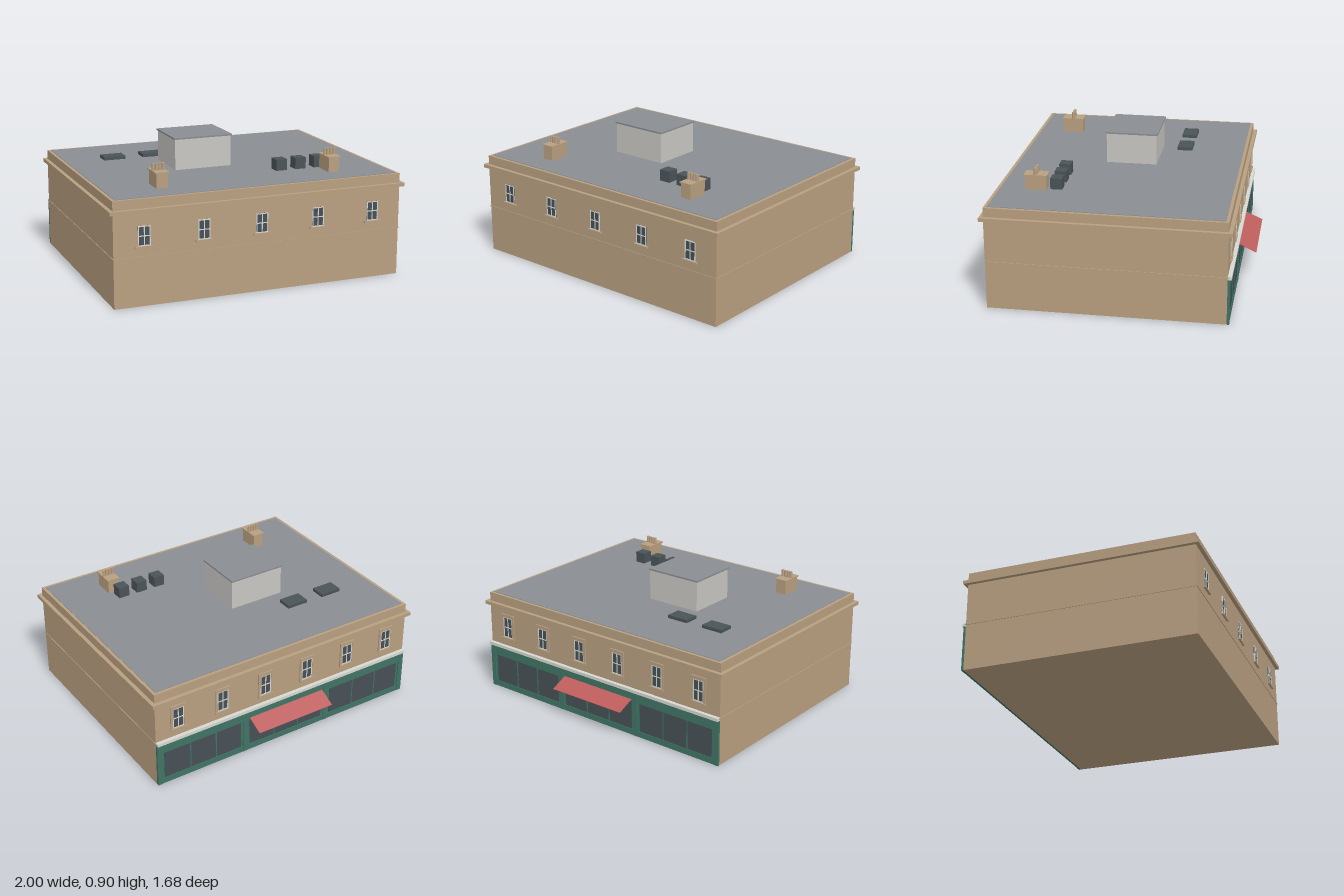
import * as THREE from 'three';

const mat = (name, color) => {
  const m = new THREE.MeshStandardMaterial({ color });
  m.name = name;
  return m;
};

export function createModel() {
  const stone = mat('sandstone', 0xb89f80);
  const roofGrey = mat('roofGrey', 0x8a8d91);
  const paleGrey = mat('paleGrey', 0xc8c6c2);
  const slate = mat('darkSlate', 0x4a5357);
  const glass = mat('glass', 0x465056);
  const white = mat('offWhite', 0xd8d8d2);
  const green = mat('shopGreen', 0x3f7465);
  const red = mat('awningRed', 0xbd5d5d);

  const model = new THREE.Group();
  model.name = 'shopBuilding';

  // Box given by its minimum and maximum on each axis
  const box = (name, m, x0, x1, y0, y1, z0, z1, parent = model) => {
    const mesh = new THREE.Mesh(new THREE.BoxGeometry(x1 - x0, y1 - y0, z1 - z0), m);
    mesh.position.set((x0 + x1) / 2, (y0 + y1) / 2, (z0 + z1) / 2);
    mesh.name = name;
    parent.add(mesh);
    return mesh;
  };
  const group = (name, x = 0, y = 0, z = 0) => {
    const g = new THREE.Group();
    g.name = name;
    g.position.set(x, y, z);
    model.add(g);
    return g;
  };

  const W = 0.975, ZB = -0.712, ZF = 0.813;

  // Main block, string course, cornice and roof
  box('walls', stone, -W, W, 0, 0.68, ZB, ZF);
  box('stringCourse', stone, -W - 0.004, W + 0.004, 0.312, 0.32, ZB - 0.004, ZF + 0.004);
  box('cornice', stone, -1, 1, 0.597, 0.62, ZB - 0.025, ZF + 0.025);
  box('roof', roofGrey, -0.954, 0.954, 0.675, 0.683, -0.692, 0.792);

  // Sash window, built facing +z about its sill
  const windowUnit = (name, x, z, w, h, surround) => {
    const g = group(name, x, 0.385, z);
    if (surround) {
      for (const s of [-1, 1]) {
        const c = s * (w / 2 + 0.008);
        box('jamb', stone, c - 0.008, c + 0.008, 0, h, 0, 0.008, g);
      }
      box('lintel', stone, -w / 2 - 0.016, w / 2 + 0.016, h, h + 0.022, 0, 0.008, g);
    }
    box('pane', glass, -w / 2, w / 2, 0, h, -0.004, 0.003, g);
    const bar = 0.006;
    for (const s of [-1, 0, 1]) {
      const cx = s * (w - bar) / 2, cy = h / 2 + s * (h - bar) / 2;
      box('upright', white, cx - bar / 2, cx + bar / 2, 0, h, 0, 0.006, g);
      box('rail', white, -w / 2, w / 2, cy - bar / 2, cy + bar / 2, 0, 0.006, g);
    }
    box('sill', stone, -w / 2 - 0.017, w / 2 + 0.017, -0.011, 0, 0, 0.014, g);
    return g;
  };
  for (let i = -2; i <= 2; i++) windowUnit('frontWindow', i * 0.389, ZF, 0.08, 0.127, false);
  for (let i = 0; i < 6; i++) {
    windowUnit('shopSideWindow', (i - 2.5) * 0.325, ZB, 0.08, 0.145, true).rotation.y = Math.PI;
  }

  // Shopfront: board, ledge, pilasters and three glazed bays
  box('shopBoard', green, -W, W, 0, 0.303, ZB - 0.008, ZB);
  box('shopLedge', white, -W, W, 0.303, 0.324, ZB - 0.025, ZB);
  for (let i = 0; i < 4; i++) {
    const x = (i - 1.5) * 0.638;
    box('pilaster', green, x - 0.018, x + 0.018, 0, 0.303, ZB - 0.016, ZB);
  }
  for (let i = -1; i <= 1; i++) {
    const x = i * 0.638, half = 0.285;
    box('shopGlass', glass, x - half, x + half, 0.04, 0.235, ZB - 0.01, ZB - 0.006);
    box('stallRiser', green, x - 0.3, x + 0.3, 0, 0.04, ZB - 0.014, ZB);
    box('fascia', green, x - 0.3, x + 0.3, 0.235, 0.303, ZB - 0.014, ZB);
    for (const k of [-1, 1]) {
      const c = x + k * half / 3;
      box('mullion', green, c - 0.004, c + 0.004, 0.04, 0.235, ZB - 0.013, ZB);
    }
  }

  // Awning sloping out from the middle bay
  const dz = 0.116, dy = 0.053;
  const awning = new THREE.Mesh(new THREE.BoxGeometry(0.575, 0.004, Math.hypot(dz, dy)), red);
  awning.position.set(0, 0.223, -0.782);
  awning.rotation.x = -Math.atan2(dy, dz);
  awning.name = 'awning';
  model.add(awning);

  // Rooftop plant room
  box('plantRoom', paleGrey, -0.353, 0.038, 0.68, 0.886, -0.134, 0.204);
  box('plantRoomRoof', roofGrey, -0.36, 0.044, 0.886, 0.897, -0.141, 0.211);

  // Cooling units and flat skylights
  for (let i = 0; i < 3; i++) {
    const x = 0.29 + i * 0.136;
    box('coolingUnit', slate, x - 0.038, x + 0.038, 0.68, 0.757, 0.392, 0.469);
  }
  for (const x of [-0.627, -0.353]) {
    box('skylight', slate, x - 0.075, x + 0.075, 0.68, 0.704, -0.338, -0.236);
  }

  // Chimneys, each with a row of four pots
  const potGeometry = new THREE.CylinderGeometry(0.0095, 0.011, 0.046, 12);
  for (const x of [-0.594, 0.591]) {
    const g = group('chimney', x, 0.68, 0.558);
    box('stack', stone, -0.038, 0.038, 0, 0.096, -0.07, 0.07, g);
    box('stackCap', stone, -0.045, 0.045, 0.096, 0.105, -0.076, 0.076, g);
    for (let i = 0; i < 4; i++) {
      const pot = new THREE.Mesh(potGeometry, stone);
      pot.position.set((i - 1.5) * 0.022, 0.126, 0);
      pot.name = 'chimneyPot';
      g.add(pot);
    }
  }
  return model;
}
